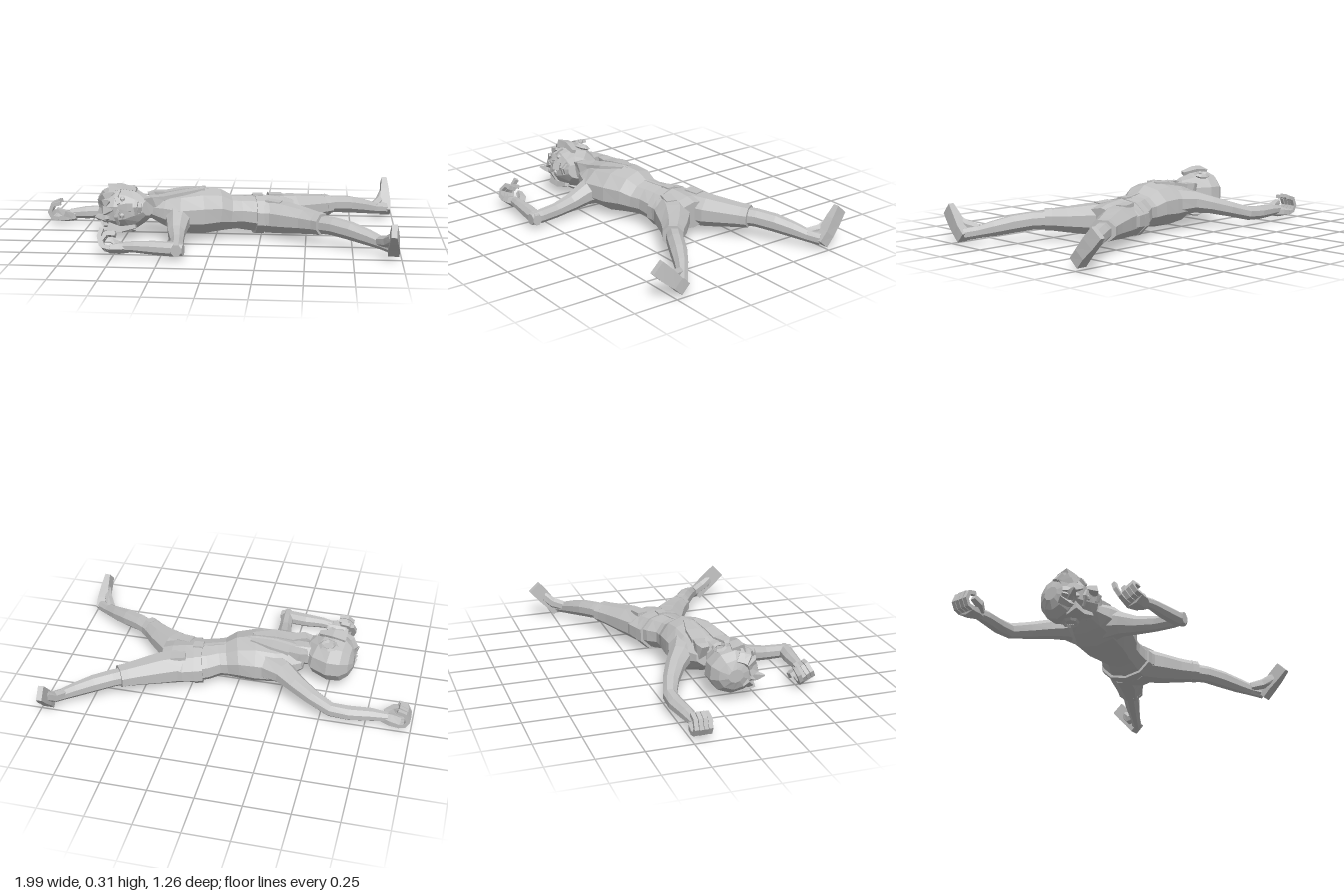
import * as THREE from 'three';

const grey = new THREE.MeshStandardMaterial({ color: 0xc0c0c0, flatShading: true });
grey.name = 'plain grey';

const Z = new THREE.Vector3(0, 0, 1);

// Closed tube through sections [x, y, z, halfWidth, halfHeight] with n flat sides
function loft(name, sections, n = 8, ref = new THREE.Vector3(0, 1, 0)) {
  const centres = sections.map(s => new THREE.Vector3(s[0], s[1], s[2]));
  const last = centres.length - 1;
  const rings = sections.map((s, i) => {
    const t = centres[Math.min(i + 1, last)].clone().sub(centres[Math.max(i - 1, 0)]).normalize();
    const side = t.clone().cross(ref).normalize();
    const up = side.clone().cross(t);
    const k = 1 / Math.cos(Math.PI / n);
    return Array.from({ length: n }, (_, j) => {
      const a = (j + 0.5) / n * Math.PI * 2;
      return centres[i].clone()
        .addScaledVector(side, Math.cos(a) * s[3] * k)
        .addScaledVector(up, Math.sin(a) * s[4] * k);
    });
  });
  const out = [];
  const tri = (...p) => p.forEach(v => out.push(v.x, v.y, v.z));
  for (let j = 0; j < n; j++) {
    const m = (j + 1) % n;
    for (let i = 0; i < last; i++) {
      tri(rings[i][j], rings[i + 1][j], rings[i][m]);
      tri(rings[i][m], rings[i + 1][j], rings[i + 1][m]);
    }
    tri(centres[0], rings[0][j], rings[0][m]);
    tri(centres[last], rings[last][m], rings[last][j]);
  }
  const g = new THREE.BufferGeometry();
  g.setAttribute('position', new THREE.Float32BufferAttribute(out, 3));
  g.computeVertexNormals();
  const mesh = new THREE.Mesh(g, grey);
  mesh.name = name;
  return mesh;
}

function makeHead() {
  const head = new THREE.Group();
  head.name = 'head';
  // Skull and jaw, chin to crown
  head.add(loft('skull', [
    [0, -0.135, 0.075, 0.04, 0.045], [0, -0.10, 0.05, 0.075, 0.085],
    [0, -0.05, 0.02, 0.105, 0.12], [0, 0.02, 0.0, 0.12, 0.132],
    [0, 0.08, -0.005, 0.115, 0.122], [0, 0.12, -0.01, 0.08, 0.085], [0, 0.138, -0.01, 0.035, 0.04],
  ], 10, Z));
  // Nose, lips
  head.add(loft('nose', [[0, 0.02, 0.13, 0.01, 0.01], [0, -0.035, 0.15, 0.02, 0.022], [0, -0.05, 0.135, 0.022, 0.012]], 4, Z));
  head.add(loft('upperLip', [[-0.035, -0.078, 0.115, 0.01, 0.008], [0, -0.074, 0.133, 0.014, 0.009], [0.035, -0.078, 0.115, 0.01, 0.008]], 4));
  head.add(loft('lowerLip', [[-0.025, -0.095, 0.115, 0.01, 0.007], [0, -0.098, 0.13, 0.014, 0.008], [0.025, -0.095, 0.115, 0.01, 0.007]], 4));
  for (const s of [-1, 1]) {
    // Brow, eye, ear and side lock
    head.add(loft('brow', [[s * 0.015, 0.018, 0.134, 0.01, 0.008], [s * 0.05, 0.034, 0.125, 0.012, 0.01], [s * 0.09, 0.02, 0.09, 0.01, 0.006]], 4));
    const eye = new THREE.Mesh(new THREE.IcosahedronGeometry(0.017, 0), grey);
    eye.name = 'eye';
    eye.position.set(s * 0.045, 0.0, 0.117);
    head.add(eye);
    const ear = new THREE.Mesh(new THREE.TorusGeometry(0.032, 0.011, 4, 8), grey);
    ear.name = 'ear';
    ear.rotation.y = Math.PI / 2;
    ear.position.set(s * 0.118, -0.005, -0.02);
    ear.scale.y = 1.3;
    head.add(ear);
    head.add(loft('sideLock', [[s * 0.105, 0.08, 0.055, 0.025, 0.035], [s * 0.118, 0.01, 0.06, 0.016, 0.025], [s * 0.1, -0.07, 0.075, 0.01, 0.012]], 4, Z));
  }
  // Fringe locks lying around the forehead
  for (let i = 0; i < 6; i++) {
    const a = -1.0 + i * 0.4, x = Math.sin(a), z = Math.cos(a);
    head.add(loft('fringeLock', [
      [x * 0.06, 0.12, z * 0.06, 0.025, 0.02], [x * 0.1, 0.095, z * 0.115, 0.024, 0.014],
      [x * 0.122 + 0.01, 0.05 + (i % 2) * 0.02, z * 0.138, 0.005, 0.005],
    ], 4, Z));
  }
  head.add(loft('hairTuft', [[-0.05, 0.09, 0.07, 0.025, 0.025], [-0.055, 0.12, 0.11, 0.016, 0.016], [-0.055, 0.142, 0.14, 0.003, 0.003]], 4, new THREE.Vector3(1, 0, 0)));
  // Crown points along -x and the face looks sideways to +z
  const up = new THREE.Vector3(-1, 0, 0), face = new THREE.Vector3(0, 0.26, 0.966);
  const m = new THREE.Matrix4().makeBasis(up.clone().cross(face), up, face);
  head.quaternion.setFromRotationMatrix(m);
  head.position.set(-0.495, 0.165, 0.115);
  return head;
}

// Palm reaching along -x with a thumb; each finger turns by its curl angle at every joint
function makeHand(name, x, y, z, thumbSide, roll, curls) {
  const hand = new THREE.Group();
  hand.name = name;
  hand.add(loft('palm', [[0.05, 0, 0, 0.026, 0.024], [0, -0.005, 0, 0.044, 0.026], [-0.055, -0.012, 0, 0.048, 0.02]], 6));
  curls.forEach((curl, i) => {
    const f = (i - 1.5) * 0.025, r = 0.012;
    const path = [[-0.045, -0.012, f, r, r]];
    let [px, py] = path[0], angle = 0.2;
    for (const step of [0.038, 0.034, 0.046, 0.046]) {
      px -= Math.cos(angle) * step;
      py += Math.sin(angle) * step;
      path.push([px, py, f, r * 0.92, r * 0.92]);
      angle += curl;
    }
    hand.add(loft('finger', path, 4, Z));
  });
  hand.add(loft('thumb', [[0.03, 0.005, thumbSide * 0.028, 0.018, 0.016], [-0.01, 0.025, thumbSide * 0.052, 0.019, 0.016], [-0.055, 0.045, thumbSide * 0.05, 0.015, 0.012]], 4));
  hand.position.set(x, y, z);
  hand.rotation.x = roll;
  return hand;
}

export function createModel() {
  const model = new THREE.Group();
  model.name = 'lyingFigure';
  const add = (...a) => model.add(loft(...a));

  // Neck and torso
  add('neck', [[-0.42, 0.17, 0.11, 0.055, 0.055], [-0.35, 0.175, 0.1, 0.06, 0.06], [-0.25, 0.17, 0.09, 0.08, 0.07]]);
  add('torso', [
    [-0.35, 0.17, 0.085, 0.1, 0.055], [-0.28, 0.162, 0.08, 0.138, 0.085],
    [-0.2, 0.147, 0.075, 0.175, 0.113], [-0.08, 0.148, 0.055, 0.165, 0.125],
    [0.01, 0.148, 0.033, 0.143, 0.115], [0.07, 0.133, 0.02, 0.118, 0.095],
    [0.12, 0.133, 0.008, 0.112, 0.09], [0.18, 0.125, -0.015, 0.128, 0.095], [0.25, 0.118, -0.03, 0.14, 0.1],
  ], 10);

  // Open collar, chest flaps and front seam
  for (const s of [-1, 1]) {
    add('collar', [[-0.365, 0.195, 0.095 + s * 0.07, 0.025, 0.045], [-0.33, 0.21, 0.09 + s * 0.075, 0.03, 0.04], [-0.27, 0.234, 0.08 + s * 0.055, 0.03, 0.016]], 4);
    add('chestFlap', [[-0.28, 0.232, 0.08 + s * 0.06, 0.035, 0.016], [-0.18, 0.252, 0.07 + s * 0.05, 0.035, 0.016], [-0.06, 0.268, 0.05 + s * 0.025, 0.012, 0.011]], 4);
  }
  add('frontSeam', [[-0.06, 0.268, 0.05, 0.01, 0.008], [0.01, 0.259, 0.033, 0.01, 0.006], [0.07, 0.226, 0.02, 0.01, 0.006], [0.2, 0.218, -0.018, 0.01, 0.006]], 4);

  // Belt, buckle and hips of the shorts
  add('belt', [[0.205, 0.118, -0.022, 0.146, 0.106], [0.25, 0.116, -0.032, 0.152, 0.107]], 10);
  add('buckle', [[0.2, 0.222, -0.025, 0.025, 0.009], [0.255, 0.222, -0.03, 0.025, 0.009]], 4);
  add('shortsHips', [
    [0.23, 0.117, -0.03, 0.147, 0.104], [0.3, 0.121, -0.04, 0.162, 0.093],
    [0.37, 0.12, -0.048, 0.158, 0.086], [0.425, 0.12, -0.052, 0.12, 0.07],
  ], 10);

  // Shorts legs with hems, then bare lower legs
  add('rightShortsLeg', [[0.29, 0.12, -0.095, 0.09, 0.088], [0.42, 0.122, -0.155, 0.092, 0.08], [0.53, 0.122, -0.222, 0.076, 0.065], [0.615, 0.122, -0.275, 0.066, 0.054]]);
  add('rightHem', [[0.585, 0.122, -0.256, 0.07, 0.058], [0.618, 0.122, -0.277, 0.069, 0.056]]);
  add('rightLowerLeg', [[0.56, 0.12, -0.242, 0.046, 0.048], [0.65, 0.12, -0.3, 0.044, 0.046], [0.74, 0.108, -0.352, 0.042, 0.046], [0.83, 0.087, -0.402, 0.033, 0.04], [0.9, 0.068, -0.44, 0.026, 0.032], [0.96, 0.06, -0.475, 0.028, 0.032]]);
  add('leftShortsLeg', [[0.29, 0.115, 0.015, 0.09, 0.088], [0.4, 0.117, 0.07, 0.09, 0.08], [0.5, 0.118, 0.14, 0.068, 0.066], [0.585, 0.12, 0.212, 0.05, 0.054]]);
  add('leftHem', [[0.56, 0.12, 0.19, 0.056, 0.059], [0.59, 0.12, 0.215, 0.054, 0.057]]);
  add('leftLowerLeg', [[0.55, 0.115, 0.182, 0.042, 0.048], [0.65, 0.117, 0.243, 0.043, 0.046], [0.74, 0.105, 0.292, 0.042, 0.046], [0.83, 0.085, 0.345, 0.034, 0.04], [0.9, 0.068, 0.392, 0.026, 0.032], [0.96, 0.056, 0.44, 0.028, 0.032]]);
  // Pocket flaps on the shorts front
  add('pocketFlap', [[0.28, 0.206, -0.12, 0.03, 0.01], [0.36, 0.201, -0.14, 0.03, 0.01]], 4);
  add('pocketFlap', [[0.28, 0.203, 0.03, 0.03, 0.01], [0.36, 0.195, 0.05, 0.03, 0.01]], 4);

  // Feet: heel to toe, soles facing +x
  for (const [name, s, z, reach, rise] of [['rightFoot', -1, 0.472, 0.138, 0.162], ['leftFoot', 1, 0.437, 0.15, 0.142]]) {
    const at = (k, x, w, h) => [x, 0.038 + rise * k, s * (z + reach * k), w, h];
    add(name, [at(0, 0.959, 0.03, 0.034), at(0.3, 0.959, 0.03, 0.034), at(0.65, 0.956, 0.023, 0.04), at(1, 0.952, 0.015, 0.04)], 4);
    add('instep', [[0.89, 0.08, s * (z - 0.035), 0.024, 0.024], [0.925, 0.095, s * (z + 0.03), 0.022, 0.028], at(0.62, 0.943, 0.012, 0.026)], 6);
  }

  // Right arm stretched beyond the head
  add('rightArm', [
    [-0.16, 0.155, -0.02, 0.085, 0.08], [-0.27, 0.155, -0.078, 0.062, 0.06], [-0.35, 0.135, -0.135, 0.05, 0.048],
    [-0.45, 0.105, -0.19, 0.042, 0.042], [-0.56, 0.072, -0.232, 0.036, 0.038], [-0.66, 0.065, -0.23, 0.041, 0.036],
    [-0.78, 0.062, -0.212, 0.037, 0.033], [-0.87, 0.055, -0.204, 0.024, 0.025],
  ]);
  model.add(makeHand('rightHand', -0.885, 0.046, -0.198, 1, 0, [0.88, 0.85, 0.85, 0.9]));

  // Left arm out to the side, bent at the elbow
  add('leftUpperArm', [[-0.19, 0.135, 0.16, 0.085, 0.085], [-0.19, 0.115, 0.25, 0.058, 0.06], [-0.187, 0.085, 0.34, 0.045, 0.045], [-0.172, 0.068, 0.45, 0.034, 0.038], [-0.163, 0.062, 0.55, 0.033, 0.036], [-0.158, 0.06, 0.618, 0.026, 0.03]]);
  add('leftForearm', [[-0.123, 0.06, 0.595, 0.022, 0.028], [-0.18, 0.06, 0.58, 0.038, 0.035], [-0.28, 0.062, 0.568, 0.037, 0.034], [-0.38, 0.064, 0.563, 0.028, 0.028], [-0.44, 0.06, 0.555, 0.024, 0.024]]);
  model.add(makeHand('leftHand', -0.46, 0.055, 0.545, -1, -0.45, [0.55, 0.9, 1.0, 1.0]));

  model.add(makeHead());
  return model;
}
